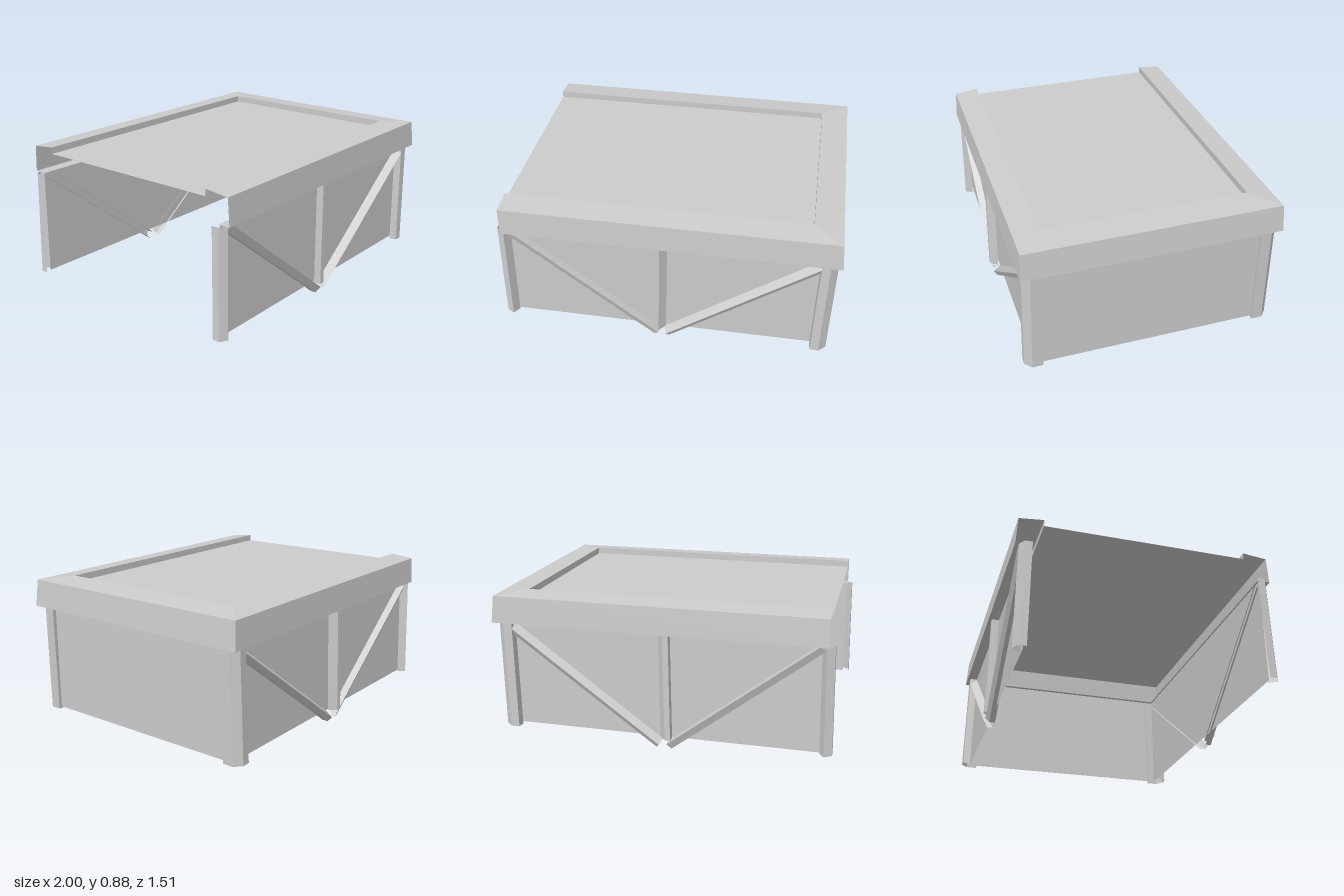
import * as THREE from 'three';

const material = new THREE.MeshStandardMaterial({ color: 0xcccccc, flatShading: true, side: THREE.DoubleSide });

// Folded sheet: joins successive cross-sections (lists of [x, y, z]) with flat quads.
function sheet(name, sections) {
  const pos = [];
  for (let s = 0; s < sections.length - 1; s++) {
    const a = sections[s], b = sections[s + 1];
    for (let i = 0; i < a.length - 1; i++) {
      pos.push(...a[i], ...b[i], ...b[i + 1], ...a[i], ...b[i + 1], ...a[i + 1]);
    }
  }
  const geometry = new THREE.BufferGeometry();
  geometry.setAttribute('position', new THREE.Float32BufferAttribute(pos, 3));
  geometry.computeVertexNormals();
  const mesh = new THREE.Mesh(geometry, material);
  mesh.name = name;
  return mesh;
}

const WALL_Z = 0.69, TOP = 0.71, BASE = 0.07;

// Folded post from a plan outline [x, z]; its foot leans slightly back and outwards.
function post(name, plan, side, foot) {
  return sheet(name, [
    plan.map(([x, z]) => [x, TOP, z * side]),
    plan.map(([x, z]) => [x - 0.013, foot, (z + 0.012) * side]),
  ]);
}

// Folded brace between two [x, y] points; profile is [offset across, z].
function brace(name, from, to, profile, side) {
  const dx = to[0] - from[0], dy = to[1] - from[1], len = Math.hypot(dx, dy);
  const sign = Math.sign(dx);
  const nx = (-dy / len) * sign, ny = (dx / len) * sign;
  return sheet(name, [from, to].map(([x, y]) =>
    profile.map(([o, z]) => [x + nx * o, y + ny * o, z * side])));
}

export function createModel() {
  const model = new THREE.Group();

  // Roof rim: a folded profile swept around three sides, open at one end
  const rim = [
    [0.82, 0.845, 0.6], [0.82, 0.885, 0.6], [0.985, 0.87, 0.745],
    [1.0, TOP, 0.755], [0.93, TOP, 0.68],
  ];
  model.add(sheet('roofRim', [
    rim.map(([, y, z]) => [-0.955, y, z]),
    rim.map(([x, y, z]) => [x, y, z]),
    rim.map(([x, y, z]) => [x, y, -z]),
    rim.map(([, y, z]) => [-0.955, y, -z]),
  ]));

  // Recessed roof panel
  model.add(sheet('roofPanel', [
    [[-0.955, 0.845, 0.6], [0.82, 0.845, 0.6]],
    [[-0.955, 0.845, -0.6], [0.82, 0.845, -0.6]],
  ]));

  // Closed end wall
  model.add(sheet('endWall', [
    [[0.955, TOP, WALL_Z], [0.955, TOP, -WALL_Z]],
    [[0.945, BASE, WALL_Z], [0.945, BASE, -WALL_Z]],
  ]));

  // Post outlines in plan
  const corner = [[0.88, 0.69], [0.885, 0.735], [0.935, 0.737], [0.977, 0.698], [0.977, 0.634], [0.945, 0.634]];
  const middle = [[-0.06, 0.69], [-0.06, 0.735], [-0.027, 0.735], [0.01, 0.69]];
  const openEnd = [[-0.915, 0.69], [-0.943, 0.735], [-0.987, 0.708], [-0.987, 0.665]];

  for (const side of [1, -1]) {
    const frame = new THREE.Group();
    frame.name = side > 0 ? 'frontSide' : 'backSide';
    frame.add(
      sheet('sideWall', [
        [[-0.95, TOP, WALL_Z * side], [0.955, TOP, WALL_Z * side]],
        [[-0.96, BASE, WALL_Z * side], [0.945, BASE, WALL_Z * side]],
      ]),
      post('cornerPost', corner, side, 0.06),
      post('middlePost', middle, side, BASE),
      post('openEndPost', openEnd, side, BASE),
      // Diagonal braces meeting at the foot of the middle post
      brace('openEndBrace', [-0.92, 0.695], [-0.058, 0.025],
        [[0.022, 0.685], [0.018, 0.735], [-0.024, 0.715], [-0.024, 0.68]], side),
      brace('closedEndBrace', [0.9, 0.685], [0.0, 0.032],
        [[0.03, 0.685], [0, 0.735], [-0.03, 0.715], [-0.03, 0.68]], side),
    );
    model.add(frame);
  }
  return model;
}
